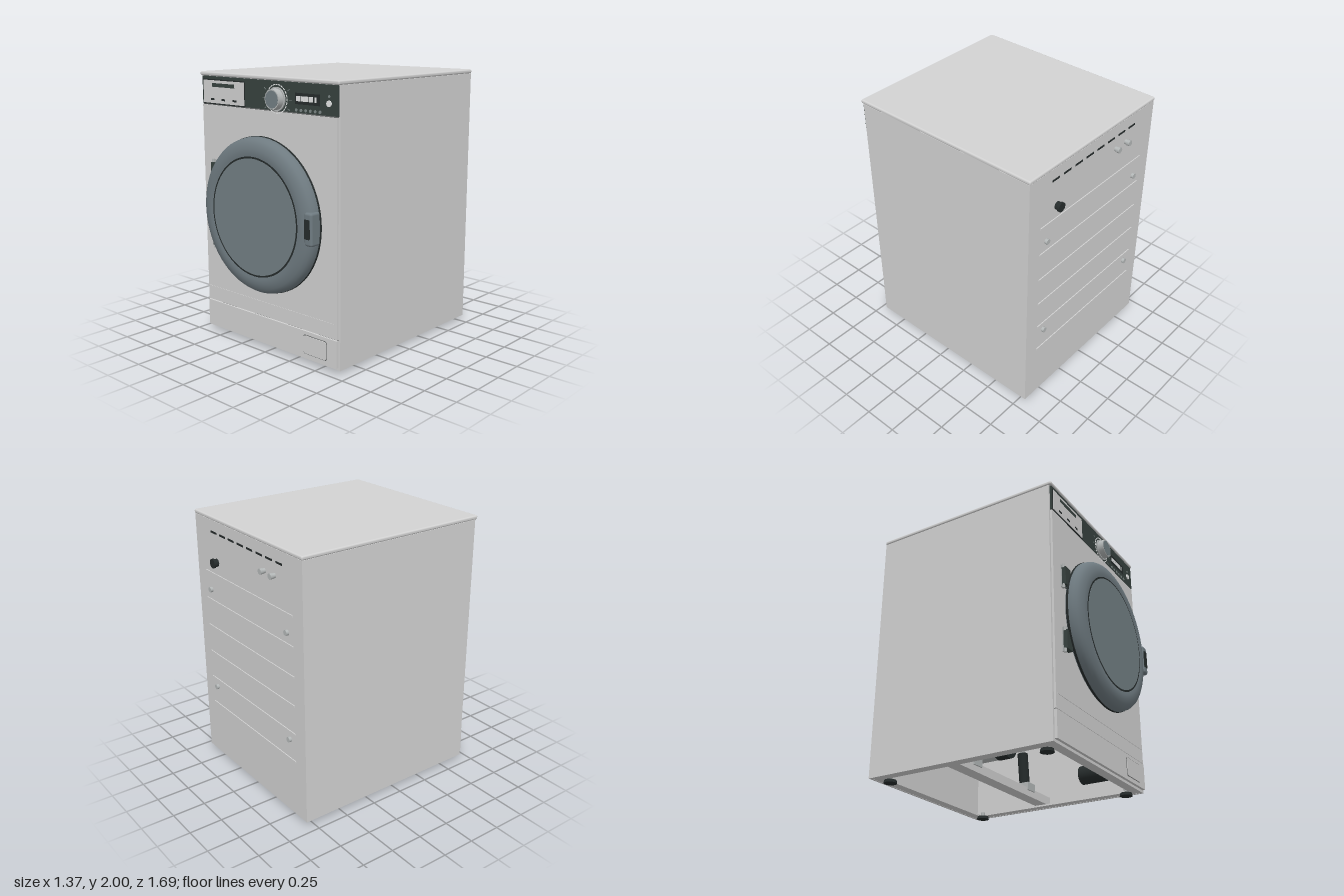
import * as THREE from 'three';
import { RoundedBoxGeometry } from 'three/addons/geometries/RoundedBoxGeometry.js';
import { toCreasedNormals } from 'three/addons/utils/BufferGeometryUtils.js';

function mat(name, color, side = THREE.FrontSide) {
  const m = new THREE.MeshStandardMaterial({ color, side });
  m.name = name;
  return m;
}

export function createModel() {
  const root = new THREE.Group();
  root.name = 'washingMachine';
  const M = {
    body: mat('bodyGrey', 0xd2d2d2),
    panel: mat('panelDark', 0x37423f),
    door: mat('doorSlate', 0x6f7b81, THREE.DoubleSide),
    glass: mat('glassGrey', 0x737f84),
    black: mat('nearBlack', 0x262c2c),
    seam: mat('seamGrey', 0x6a6c6c),
    metal: mat('metalGrey', 0xb4b8b8),
    white: mat('markWhite', 0xe8eaea),
    lamp: mat('lampGrey', 0x7d8786),
  };

  const add = (name, geo, m, x = 0, y = 0, z = 0, parent = root) => {
    const mesh = new THREE.Mesh(geo, m);
    mesh.name = name;
    mesh.position.set(x, y, z);
    parent.add(mesh);
    return mesh;
  };
  // box given by its limits
  const span = (name, m, x0, x1, y0, y1, z0, z1) =>
    add(name, new THREE.BoxGeometry(x1 - x0, y1 - y0, z1 - z0), m, (x0 + x1) / 2, (y0 + y1) / 2, (z0 + z1) / 2);
  // cylinder along z between z0 and z1
  const disc = (name, m, r, x, y, z0, z1, n = 32, r2 = r) =>
    add(name, new THREE.CylinderGeometry(r2, r, z1 - z0, n).rotateX(Math.PI / 2), m, x, y, (z0 + z1) / 2);
  // rounded plate facing +z
  const plate = (name, m, w, h, r, depth, x, y, z) => {
    const s = new THREE.Shape(), a = w / 2, b = h / 2;
    s.moveTo(-a + r, -b).lineTo(a - r, -b).quadraticCurveTo(a, -b, a, -b + r).lineTo(a, b - r)
      .quadraticCurveTo(a, b, a - r, b).lineTo(-a + r, b).quadraticCurveTo(-a, b, -a, b - r)
      .lineTo(-a, -b + r).quadraticCurveTo(-a, -b, -a + r, -b);
    return add(name, new THREE.ExtrudeGeometry(s, { depth, bevelEnabled: false, curveSegments: 6 }), m, x, y, z);
  };
  const lathe = (name, m, pts, x, y, z, n = 72) =>
    add(name, toCreasedNormals(new THREE.LatheGeometry(pts.map(p => new THREE.Vector2(...p)), n).rotateX(Math.PI / 2), 0.6), m, x, y, z);

  // Cabinet shell, open underneath
  for (const s of [-1, 1]) {
    span('sideWall', M.body, s > 0 ? 0.662 : -0.68, s > 0 ? 0.68 : -0.662, 0.03, 1.97, -0.805, 0.69);
  }
  span('backWall', M.body, -0.662, 0.662, 0.03, 1.97, -0.805, -0.79);
  span('innerFront', M.body, -0.662, 0.662, 0.03, 1.97, 0.675, 0.688);
  span('frontPanel', M.body, -0.665, 0.665, 0.253, 1.76, 0.688, 0.706);
  span('kickPanel', M.body, -0.665, 0.665, 0.05, 0.247, 0.688, 0.71);
  span('kickSeam', M.seam, -0.664, 0.664, 0.245, 0.255, 0.688, 0.696);
  span('panelSeam', M.seam, -0.664, 0.664, 1.756, 1.77, 0.688, 0.699);
  span('crease', M.body, -0.645, 0.645, 0.357, 0.363, 0.7, 0.709);
  add('lid', new RoundedBoxGeometry(1.37, 0.03, 1.52, 3, 0.012), M.body, 0, 1.985, -0.05);

  // Filter flap
  plate('flapGap', M.seam, 0.222, 0.142, 0.022, 0.003, 0.465, 0.15, 0.709);
  plate('flap', M.body, 0.214, 0.134, 0.02, 0.006, 0.465, 0.15, 0.709);

  // Control panel with detergent drawer
  span('controlPanel', M.panel, -0.665, 0.67, 1.768, 1.968, 0.688, 0.704);
  span('drawerGap', M.black, -0.655, -0.205, 1.766, 1.948, 0.7, 0.706);
  span('drawer', M.body, -0.648, -0.212, 1.775, 1.94, 0.7, 0.71);
  span('drawerSlot', M.panel, -0.55, -0.31, 1.893, 1.92, 0.708, 0.712);
  for (const x of [-0.55, -0.43, -0.31]) span('drawerMark', M.black, x - 0.018, x + 0.018, 1.796, 1.81, 0.708, 0.712);

  // Program dial with tick marks
  const dx = 0.116, dy = 1.847;
  disc('dialBase', M.metal, 0.082, dx, dy, 0.7, 0.715, 40);
  disc('dialKnob', M.metal, 0.074, dx, dy, 0.71, 0.755, 40, 0.068);
  disc('dialFace', M.glass, 0.06, dx, dy, 0.75, 0.757, 40);
  for (let i = 0; i < 24; i++) {
    const a = i / 24 * Math.PI * 2;
    add('dialDash', new THREE.BoxGeometry(0.007, 0.018, 0.004), M.white,
      dx + Math.cos(a) * 0.098, dy + Math.sin(a) * 0.098, 0.705).rotation.z = a;
    if (i % 2 || Math.abs(Math.sin(a)) > 0.75) continue;
    add('dialTick', new THREE.BoxGeometry(0.022, 0.004, 0.004), M.lamp,
      dx + Math.cos(a) * 0.13, dy + Math.sin(a) * 0.13, 0.705).rotation.z = a;
  }

  // Display, indicator lamps and power button
  span('display', M.black, 0.29, 0.515, 1.825, 1.9, 0.7, 0.706);
  for (let i = 0; i < 4; i++) span('displayDigit', M.white, 0.302 + i * 0.039, 0.336 + i * 0.039, 1.845, 1.88, 0.704, 0.708);
  span('displayDigit', M.white, 0.467, 0.484, 1.845, 1.88, 0.704, 0.708);
  for (let i = 0; i < 6; i++) disc('indicator', M.lamp, 0.011, 0.3 + i * 0.043, 1.786, 0.7, 0.708, 12);
  disc('powerButton', M.white, 0.021, 0.596, 1.847, 0.7, 0.712, 24);
  disc('powerLamp', M.lamp, 0.009, 0.596, 1.893, 0.7, 0.708, 12);

  // Door: collar, rounded ring, dark inlay, glass
  const cy = 1.025;
  disc('doorCollar', M.body, 0.465, 0, cy, 0.7, 0.73, 64);
  lathe('doorRing', M.door, [[0.3, 0.724], [0.54, 0.724], [0.556, 0.738], [0.558, 0.76], [0.554, 0.79],
    [0.54, 0.812], [0.515, 0.828], [0.48, 0.838], [0.45, 0.84], [0.425, 0.836], [0.42, 0.825]], 0, cy, 0);
  lathe('doorEdge', M.black, [[0.552, 0.734], [0.561, 0.741], [0.561, 0.752], [0.552, 0.758]], 0, cy, 0);
  disc('glassInlay', M.black, 0.428, 0, cy, 0.8, 0.837, 72);
  disc('doorGlass', M.glass, 0.415, 0, cy, 0.8, 0.839, 72);

  // Door handle
  add('handle', new RoundedBoxGeometry(0.07, 0.23, 0.09, 3, 0.018), M.door, 0.525, cy, 0.797);
  plate('handleRecess', M.black, 0.05, 0.135, 0.01, 0.004, 0.521, cy + 0.002, 0.841);

  // Hinges
  for (const s of [-1, 1]) {
    const y = cy + s * 0.245;
    span('hingeBlock', M.panel, -0.555, -0.48, y - 0.07, y + 0.07, 0.706, 0.742);
    span('hingePlate', M.metal, -0.565, -0.535, y - 0.09, y + 0.09, 0.704, 0.712);
    for (const t of [-1, 1]) add('hingePin', new THREE.CylinderGeometry(0.01, 0.01, 0.03, 12), M.metal, -0.55, y + t * 0.08, 0.722);
  }

  // Feet
  for (const x of [-0.585, 0.585]) for (const z of [0.59, -0.685]) {
    add('footPad', new THREE.CylinderGeometry(0.044, 0.048, 0.022, 24), M.black, x, 0.011, z);
    add('footStem', new THREE.CylinderGeometry(0.016, 0.016, 0.04, 12), M.metal, x, 0.035, z);
  }

  // Back: ribs, vents, bolts, hose connectors
  for (let i = 0; i < 6; i++) span('backRib', M.body, -0.565, 0.565, 0.464 + i * 0.219, 0.476 + i * 0.219, -0.812, -0.8);
  for (let i = 0; i < 8; i++) {
    const x = -0.42 + i * 0.12;
    span('backVent', M.black, x - 0.038, x + 0.038, 1.876, 1.89, -0.808, -0.8);
  }
  for (const x of [-0.497, 0.497]) for (const y of [0.625, 1.43]) disc('backBolt', M.metal, 0.02, x, y, -0.825, -0.8, 16);
  for (const x of [-0.362, -0.242]) {
    disc('inletCollar', M.metal, 0.018, x, 1.785, -0.835, -0.8, 20);
    disc('inletCap', M.metal, 0.022, x, 1.785, -0.845, -0.825, 8);
  }
  disc('drainOutlet', M.black, 0.029, 0.395, 1.665, -0.84, -0.8, 24);
  disc('drainFlange', M.black, 0.035, 0.395, 1.665, -0.845, -0.83, 24);

  // Underside frame and cross bar
  for (const s of [-1, 1]) span('bottomRail', M.body, s > 0 ? 0.6 : -0.662, s > 0 ? 0.662 : -0.6, 0.032, 0.045, -0.79, 0.675);
  span('bottomRail', M.body, -0.6, 0.6, 0.032, 0.045, -0.79, -0.72);
  span('bottomRail', M.body, -0.6, 0.6, 0.032, 0.045, 0.61, 0.675);
  span('crossBar', M.body, -0.662, 0.662, 0.045, 0.11, -0.2, -0.1);

  // Tub with ribs, pulley and belt
  disc('tub', M.seam, 0.52, 0, 1.05, -0.42, 0.5, 48);
  for (const z of [-0.4, 0.05, 0.48]) add('tubRib', new THREE.TorusGeometry(0.525, 0.018, 8, 48), M.metal, 0, 1.05, z);
  disc('pulley', M.metal, 0.28, 0, 1.05, -0.54, -0.5, 32);
  disc('pulleyShaft', M.metal, 0.04, 0, 1.05, -0.56, -0.4, 16);
  const belt = new THREE.CatmullRomCurve3([[0.28, 1.1], [0, 1.33], [-0.28, 1.1], [-0.04, 0.34], [0.04, 0.34]]
    .map(p => new THREE.Vector3(p[0], p[1], -0.52)), true);
  add('belt', new THREE.TubeGeometry(belt, 48, 0.012, 6, true), M.black);

  // Motor, pump and dampers
  disc('motor', M.metal, 0.09, 0, 0.34, -0.42, -0.12, 24);
  disc('motorCap', M.black, 0.095, 0, 0.34, -0.16, -0.06, 24);
  disc('motorShaft', M.black, 0.035, 0, 0.34, -0.55, -0.42, 16);
  disc('pump', M.black, 0.07, 0.45, 0.17, 0.3, 0.5, 20);
  disc('filterHousing', M.metal, 0.045, 0.45, 0.17, 0.5, 0.68, 20);
  for (const s of [-1, 1]) {
    span('damperMount', M.metal, s * 0.36 - 0.05, s * 0.36 + 0.05, 0.09, 0.15, -0.21, -0.09);
    const damper = new THREE.Group();
    damper.name = 'damper';
    damper.position.set(s * 0.36, 0.13, -0.15);
    damper.rotation.z = s * 0.12;
    add('damperBody', new THREE.CylinderGeometry(0.04, 0.04, 0.24, 16), M.black, 0, 0.14, 0, damper);
    add('damperRod', new THREE.CylinderGeometry(0.018, 0.018, 0.34, 12), M.metal, 0, 0.4, 0, damper);
    root.add(damper);
  }
  return root;
}
